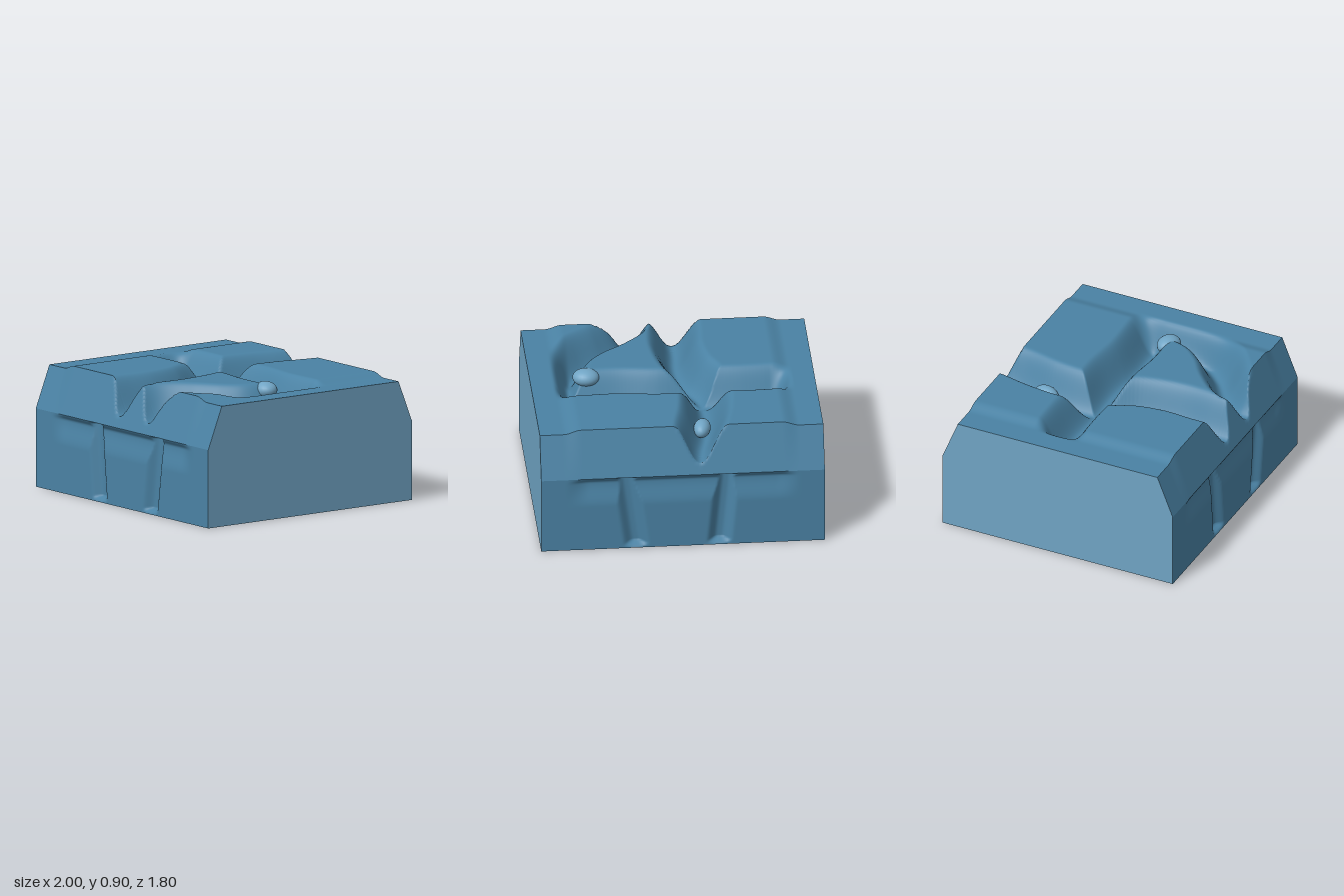
import * as THREE from 'three';

const { smoothstep, lerp } = THREE.MathUtils;
const HALF_X = 1, HALF_Z = 0.9, RIM_Z = 0.78, WALL = 0.56;

// Channel centre lines as [x, z] points
const channels = [
  [[-0.12, -0.95], [-0.14, -0.75], [-0.19, -0.5], [-0.21, -0.25], [-0.19, -0.02], [-0.1, 0.2], [-0.06, 0.45], [-0.07, 0.7], [-0.07, 0.95]],
  [[-0.95, -0.06], [-0.75, -0.09], [-0.5, -0.1], [-0.2, -0.09], [0.1, -0.1], [0.4, -0.07], [0.75, -0.08], [0.95, -0.08]],
  [[0.26, 0.95], [0.27, 0.78], [0.4, 0.63], [0.57, 0.5], [0.7, 0.35], [0.76, 0.2], [0.77, 0.05], [0.76, -0.08]],
].map((path) => new THREE.CatmullRomCurve3(path.map(([x, z]) => new THREE.Vector3(x, 0, z))).getSpacedPoints(80));

// Height of the uncut top: a slightly raised middle between flat side strips
const rim = (x) => 0.86 + 0.03 * (1 - smoothstep(Math.abs(x), 0.71, 0.83));

// Top height with the rounded channels cut into it
function terrain(x, z) {
  let cut = 0;
  for (const path of channels) {
    let nearest = Infinity;
    for (const p of path) nearest = Math.min(nearest, (p.x - x) ** 2 + (p.z - z) ** 2);
    const d = Math.sqrt(nearest) / 0.2;
    if (d < 1) cut = Math.max(cut, 0.5 + 0.5 * Math.cos(Math.PI * d));
  }
  const fade = 1 - smoothstep(Math.abs(x), 0.69, 0.84);
  return rim(x) - 0.255 * cut * fade;
}

// Sloping shoulders limit the height near the front and back
function height(x, z) {
  const t = Math.max(0, (Math.abs(z) - RIM_Z) / (HALF_Z - RIM_Z));
  return Math.min(terrain(x, z), lerp(rim(x), WALL, t));
}

// Inward depth of the wall: a long undercut and two slanted grooves
function wallDepth(x, y) {
  if (y > WALL - 0.001) return 0;
  const ends = 1 - smoothstep(Math.abs(x), 0.66, 0.83);
  let depth = 0.028 * ends * smoothstep(y, 0.34, 0.52) * (1 - smoothstep(y, 0.52, WALL));
  for (const [top, bottom] of [[-0.31, -0.255], [0.4, 0.325]]) {
    const d = Math.abs(x - lerp(bottom, top, y / WALL));
    depth = Math.max(depth, 0.05 * (1 - smoothstep(d, 0.015, 0.095)) * smoothstep(y, 0.01, 0.04));
  }
  return depth;
}

// Grid surface whose points follow a rule of u and v
function sheet(nu, nv, rule) {
  const geo = new THREE.PlaneGeometry(1, 1, nu, nv);
  const { position, uv } = geo.attributes;
  for (let i = 0; i < position.count; i++) position.setXYZ(i, ...rule(uv.getX(i), uv.getY(i)));
  geo.computeVertexNormals();
  return geo;
}

export function createModel() {
  const group = new THREE.Group();
  const surface = new THREE.MeshStandardMaterial({ color: 0x4a82a4 });
  surface.name = 'deep blue';
  const pale = new THREE.MeshStandardMaterial({ color: 0x70a4c4 });
  pale.name = 'pale blue';
  const add = (name, geo, material) => {
    const mesh = new THREE.Mesh(geo, material);
    mesh.name = name;
    group.add(mesh);
    return mesh;
  };

  // Channelled top and its two shoulders
  const topSheet = (nv, z0, z1) => sheet(160, nv, (u, v) => {
    const x = lerp(-HALF_X, HALF_X, u), z = lerp(z1, z0, v);
    return [x, height(x, z), z];
  });
  add('channelledTop', topSheet(130, -RIM_Z, RIM_Z), surface);
  add('frontShoulder', topSheet(12, RIM_Z, HALF_Z), surface);
  add('backShoulder', topSheet(12, -HALF_Z, -RIM_Z), surface);

  // Grooved front and back walls
  for (const [name, s] of [['frontWall', 1], ['backWall', -1]]) {
    add(name, sheet(160, 56, (u, v) => {
      const x = s * lerp(-HALF_X, HALF_X, u), y = WALL * v;
      return [x, y, s * (HALF_Z - wallDepth(x, y))];
    }), surface);
  }

  // Flat sides
  const profile = new THREE.Shape([
    [-HALF_Z, 0], [HALF_Z, 0], [HALF_Z, WALL], [RIM_Z, 0.86], [-RIM_Z, 0.86], [-HALF_Z, WALL],
  ].map(([a, b]) => new THREE.Vector2(a, b)));
  for (const [name, s] of [['leftSide', 1], ['rightSide', -1]]) {
    add(name, new THREE.ShapeGeometry(profile).rotateY(s * Math.PI / 2).translate(s * HALF_X, 0, 0), pale);
  }

  // Underside
  add('underside', new THREE.PlaneGeometry(2 * HALF_X, 2 * HALF_Z).rotateX(Math.PI / 2), surface);

  // Two smooth pebbles
  const pebble = (name, position, scale, turn) => {
    const mesh = add(name, new THREE.SphereGeometry(1, 24, 16), pale);
    mesh.position.set(...position);
    mesh.scale.set(...scale);
    mesh.rotation.y = turn;
  };
  pebble('sidePebble', [0.6, 0.84, 0.09], [0.095, 0.06, 0.08], -0.15);
  pebble('channelPebble', [-0.17, 0.71, -0.49], [0.06, 0.06, 0.095], -0.2);
  return group;
}
